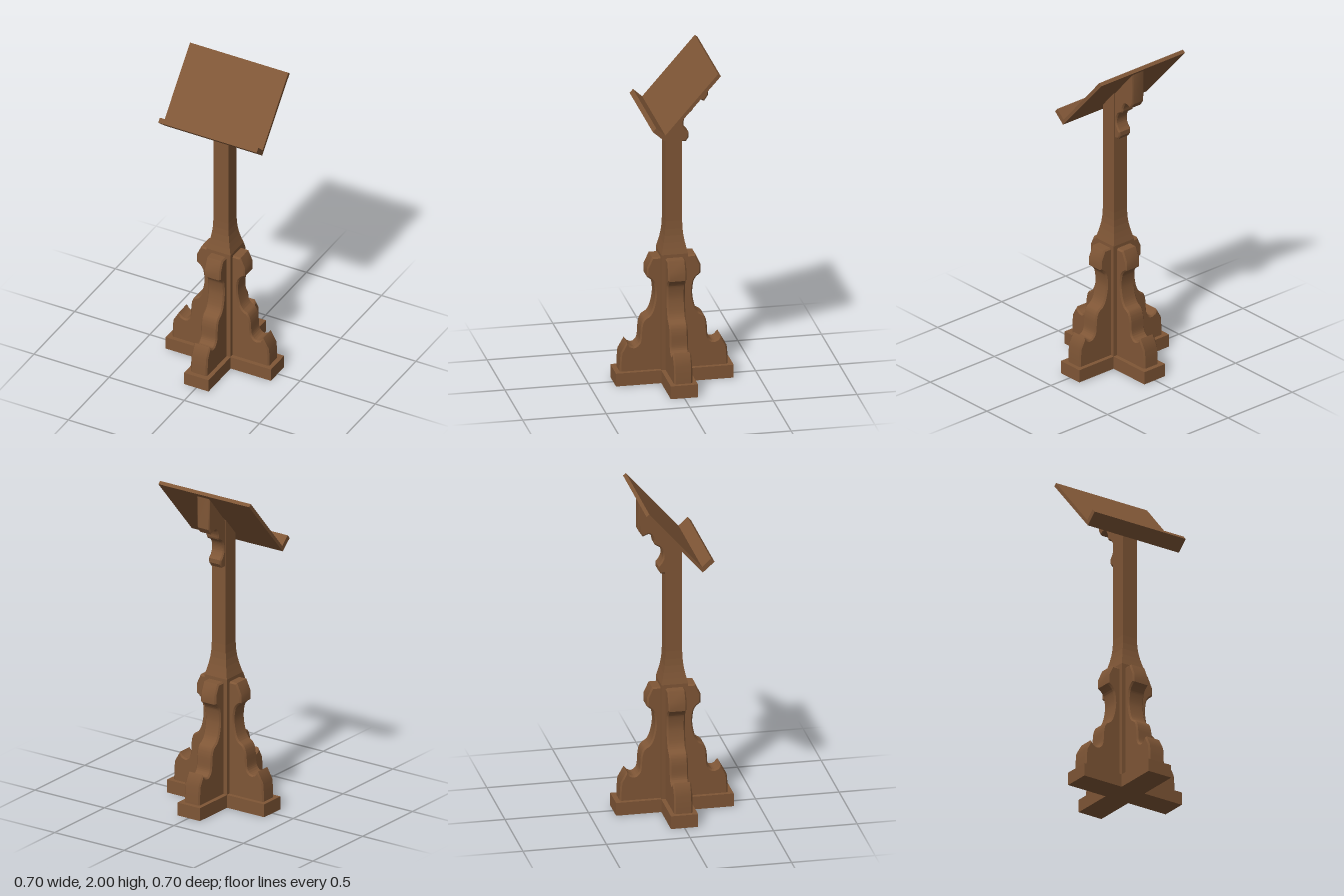
import * as THREE from 'three';
import { toCreasedNormals } from 'three/addons/utils/BufferGeometryUtils.js';

const wood = new THREE.MeshStandardMaterial({ color: 0x7f5636 });
wood.name = 'brown wood';

function mesh(name, geometry) {
  const m = new THREE.Mesh(geometry, wood);
  m.name = name;
  return m;
}

// Each run of points is one smooth curve; a run of one point is a sharp corner.
function outline(runs) {
  const shape = new THREE.Shape();
  runs.forEach((run, i) => {
    const [first, ...rest] = run.map(([x, y]) => new THREE.Vector2(x, y));
    if (i === 0) shape.moveTo(first.x, first.y);
    else shape.lineTo(first.x, first.y);
    if (rest.length) shape.splineThru(rest);
  });
  return shape;
}

// Board of the given half width with a narrow chamfer, centred on its own plane
function carvedBoard(runs, halfWidth, bevel) {
  const g = new THREE.ExtrudeGeometry(outline(runs), {
    depth: 2 * (halfWidth - bevel), curveSegments: 20, bevelEnabled: bevel > 0,
    bevelThickness: bevel, bevelSize: bevel, bevelOffset: -bevel, bevelSegments: 1,
  });
  g.translate(0, 0, bevel - halfWidth);
  return toCreasedNormals(g, 0.5);
}

// Underside of the sloping desk, as height over z
const undersideAt = (z) => 1.605 + 1.128 * (0.11 - z);

function makePost() {
  const profile = [[0.08, 0.02], [0.08, 0.8], [0.071, 0.835], [0.063, 0.87],
    [0.056, 0.91], [0.052, 0.95], [0.05, 1.0], [0.05, 1.7]];
  let g = new THREE.LatheGeometry(
    profile.map(([r, y]) => new THREE.Vector2(r * Math.SQRT2, y)), 4, Math.PI / 4);
  // Cut the top of the post to the slope of the desk
  const p = g.attributes.position;
  for (let i = 0; i < p.count; i++) {
    if (p.getY(i) > 1.6) p.setY(i, undersideAt(p.getZ(i)) + 0.005);
  }
  g = g.toNonIndexed();
  g.computeVertexNormals();
  return mesh('post', g);
}

export function createModel() {
  const group = new THREE.Group();
  group.name = 'lectern';

  // Crossed base beams
  for (const [name, w, d] of [['baseBeamAcross', 0.7, 0.163], ['baseBeamAlong', 0.163, 0.704]]) {
    const beam = mesh(name, new THREE.BoxGeometry(w, 0.08, d));
    beam.position.y = 0.04;
    group.add(beam);
  }

  group.add(makePost());

  // Four scrolled legs around the post
  const legGeometry = carvedBoard([
    [[0.03, 0.06]], [[0.323, 0.06]], [[0.323, 0.1], [0.321, 0.15], [0.317, 0.195]],
    [[0.28, 0.26]],
    [[0.28, 0.26], [0.262, 0.238], [0.24, 0.23], [0.22, 0.238], [0.203, 0.268],
      [0.196, 0.35], [0.18, 0.395], [0.145, 0.422], [0.124, 0.465], [0.111, 0.54],
      [0.118, 0.61], [0.134, 0.64]],
    [[0.16, 0.66]], [[0.16, 0.715]], [[0.13, 0.78]], [[0.03, 0.78]],
  ].map((run, i) => (i === 4 ? run.slice(1) : run)), 0.055, 0.009);
  for (let i = 0; i < 4; i++) {
    const leg = mesh('leg' + (i + 1), legGeometry);
    leg.rotation.y = i * Math.PI / 2;
    group.add(leg);
  }

  // Scrolled bracket behind the post, profile drawn towards the back
  const bracket = mesh('bracket', carvedBoard([
    [[0.03, 1.49]], [[0.075, 1.49]], [[0.092, 1.515]], [[0.092, 1.542]],
    [[0.075, 1.56], [0.062, 1.59], [0.064, 1.625], [0.08, 1.656], [0.112, 1.678],
      [0.119, 1.71], [0.135, 1.74], [0.155, 1.745], [0.183, 1.733]],
    [[0.207, 1.768]], [[0.207, undersideAt(-0.207) + 0.006]], [[0.03, undersideAt(-0.03) + 0.006]],
  ], 0.045, 0.008));
  bracket.rotation.y = Math.PI / 2;
  group.add(bracket);

  // Sloping desk with its book ledge, set slightly off centre
  const desk = mesh('deskAndLedge', carvedBoard([
    [[0.21, 2.0]], [[-0.105, 1.64]], [[-0.16, 1.69]], [[-0.18, 1.667]],
    [[-0.11, 1.605]], [[0.227, 1.985]],
  ], 0.327, 0));
  desk.rotation.y = Math.PI / 2;
  desk.position.x = -0.019;
  group.add(desk);

  return group;
}
